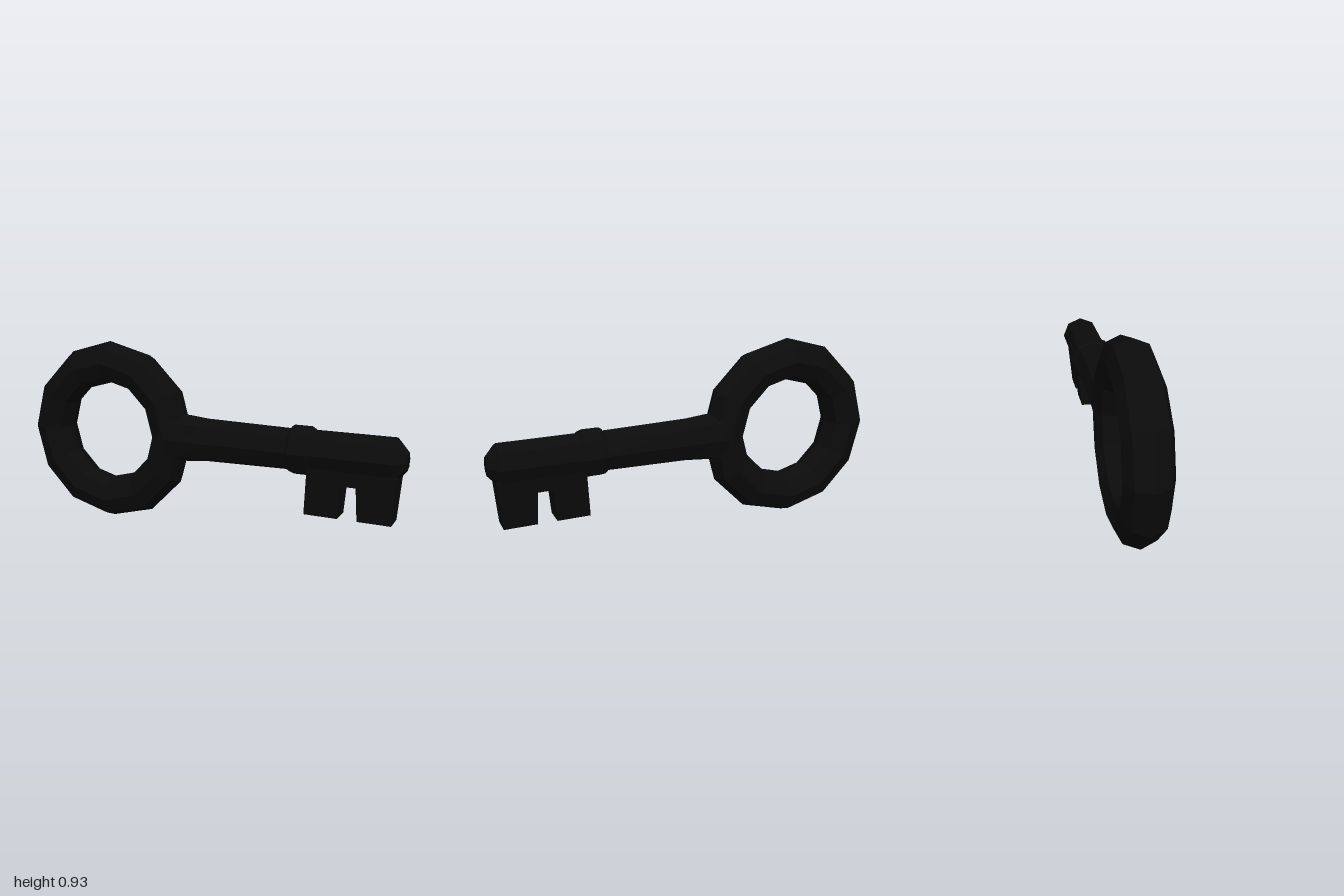
import * as THREE from 'three';

const AXIS_Y = 0.468;

export function createModel() {
  const key = new THREE.Group();
  key.name = 'key';
  const iron = new THREE.MeshStandardMaterial({ color: 0x0b0b0b, flatShading: true });

  const add = (name, geometry, x = 0, y = 0) => {
    const mesh = new THREE.Mesh(geometry, iron);
    mesh.name = name;
    mesh.position.set(x, y, 0);
    key.add(mesh);
  };

  // Octagonal part turned around the x axis from [x, radius] pairs
  const turned = (profile) => new THREE.LatheGeometry(
    profile.map(([x, r]) => new THREE.Vector2(r, x)), 8).rotateZ(-Math.PI / 2);

  // Ring handle
  add('bow', new THREE.TorusGeometry(0.359, 0.107, 8, 12), -0.535, AXIS_Y);

  // Shaft, flared in height where it joins the ring
  const shaft = turned([
    [-0.2, 0], [-0.2, 0.13], [-0.1, 0.12], [0.03, 0.108], [0.5, 0.099],
    [0.58, 0.103], [0.95, 0.103], [1, 0.045], [1, 0],
  ]);
  const p = shaft.attributes.position;
  for (let i = 0; i < p.count; i++) {
    p.setZ(i, THREE.MathUtils.clamp(p.getZ(i), -0.105, 0.105));
  }
  add('shaft', shaft, 0, AXIS_Y);

  // Raised collar
  add('collar', turned([
    [0.46, 0], [0.46, 0.108], [0.475, 0.118], [0.56, 0.118], [0.573, 0.108], [0.573, 0],
  ]), 0, AXIS_Y);

  // Two-toothed bit, thinner towards its lower edge
  const outline = new THREE.Shape([
    [0.545, 0.175], [0.705, 0.175], [0.715, 0.335], [0.79, 0.335],
    [0.797, 0.175], [0.953, 0.175], [0.968, 0.395], [0.945, 0.42], [0.562, 0.42],
  ].map(([x, y]) => new THREE.Vector2(x, y)));
  const bit = new THREE.ExtrudeGeometry(outline, { depth: 2, bevelEnabled: false });
  bit.translate(0, 0, -1);
  const b = bit.attributes.position;
  for (let i = 0; i < b.count; i++) {
    b.setZ(i, b.getZ(i) * (0.055 + (b.getY(i) - 0.175) * 0.095));
  }
  bit.computeVertexNormals();
  add('bit', bit);

  return key;
}
